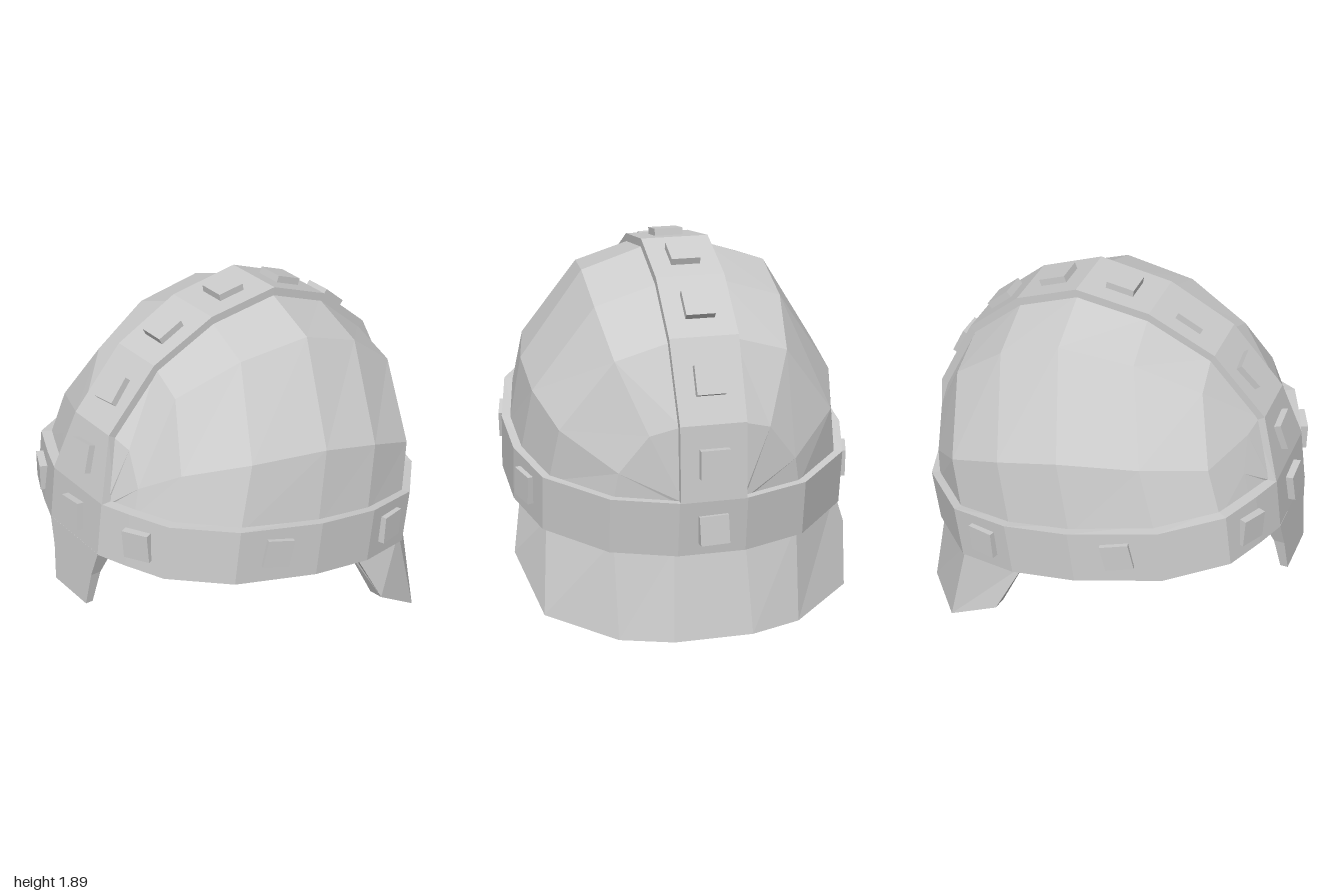
import * as THREE from 'three';

// Half plan of the brow band and the matching crest stations, front to back
const PLAN = [[.22, .93], [.38, .873], [.59, .785], [.785, .5], [.868, .06], [.862, -.28], [.77, -.6], [.49, -.865], [.17, -.96]];
const CREST = [ // z, y, half width
  [.93, 1.02, .225], [.83, 1.34, .152], [.56, 1.64, .155], [.22, 1.81, .165], [-.16, 1.87, .172],
  [-.48, 1.75, .172], [-.75, 1.52, .172], [-.94, 1.14, .165], [-.965, .76, .165],
];
const CENTRE = { y: .8, z: -.03 };
const bandTop = (z) => 1.02 - .152 * Math.max(0, .75 - z);
const bandBottom = (z) => .74 - .155 * Math.max(0, .77 - z);

const mirror = ([x, y, z]) => [-x, y, z];
// Continue a list of items from +x to -x
const bothSides = (list, flip) => [...list, ...list.map(flip).reverse()];

export function createModel() {
  const model = new THREE.Group();
  model.name = 'helmet';
  const material = new THREE.MeshStandardMaterial({ color: 0xcccccc, flatShading: true, side: THREE.DoubleSide });

  function add(name, geometry) {
    const mesh = new THREE.Mesh(geometry, material);
    mesh.name = name;
    model.add(mesh);
    return mesh;
  }

  // Skin a row of cross-sections
  function loft(rings, { tube = false, loop = false, caps = false } = {}) {
    const pos = [];
    const tri = (...pts) => pts.forEach((p) => pos.push(...p));
    const n = rings.length, m = rings[0].length;
    for (let i = 0; i < (loop ? n : n - 1); i++) {
      for (let j = 0; j < (tube ? m : m - 1); j++) {
        const r = rings[i], s = rings[(i + 1) % n], k = (j + 1) % m;
        tri(r[j], s[j], s[k]);
        tri(r[j], s[k], r[k]);
      }
    }
    if (caps) {
      const a = rings[0], b = rings[n - 1];
      for (let j = 1; j < m - 1; j++) {
        tri(a[0], a[j], a[j + 1]);
        tri(b[0], b[j + 1], b[j]);
      }
    }
    const g = new THREE.BufferGeometry();
    g.setAttribute('position', new THREE.Float32BufferAttribute(pos, 3));
    g.computeVertexNormals();
    return g;
  }

  const shrink = ([x, y, z], s) => [x, CENTRE.y + (y - CENTRE.y) * s, CENTRE.z + (z - CENTRE.z) * s];

  // Dome: arches from the band, over the crest, to the other side
  const arches = (inset) => PLAN.map(([px, pz], i) => {
    const [cz, cy, w] = CREST[i];
    const [xc, yc, zc] = shrink([w - .015, cy, cz], inset);
    const k = inset - .01;
    const xb = px * k, yb = bandTop(pz) - .03, zb = CENTRE.z + (pz - CENTRE.z) * k;
    // the frontmost and rearmost arches lean inward to round the ends
    const lean = i === 1 ? -.035 : i === 7 ? .025 : 0;
    const half = [90, 67, 28, 0].map((deg) => {
      const a = THREE.MathUtils.degToRad(deg), s = Math.sin(a), c = Math.cos(a);
      return [xc + (xb - xc) * s, yb + (yc - yb) * c, zb + (zc - zb) * c + lean * Math.sin(2 * a)];
    });
    return bothSides(half, mirror);
  });
  add('dome', loft(arches(.965)));
  add('domeLining', loft(arches(.925)));

  // Raised strip over the middle of the dome
  add('crestStrip', loft(CREST.map(([z, y, w]) => {
    const outer = [w, y, z];
    return bothSides([shrink(outer, .93), outer], mirror);
  })));

  // Brow band: closed ring, thick, tilted down to the back
  const bandSection = ([x, z]) => {
    const yt = bandTop(z), yb = bandBottom(z), k = .92;
    return [[x, yb, z + .035], [x, yt, z], [x * k, yt, z * k], [x * k, yb, z * k + .03]];
  };
  const bandRings = bothSides(PLAN.map(bandSection), (r) => r.map(mirror));
  add('browBand', loft(bandRings, { tube: true, loop: true }));

  // Nose guard
  add('noseGuard', loft([[.745, .223, .965, .87], [.6, .175, .98, .925], [.42, .145, 1, .96]]
    .map(([y, w, front, back]) => [[-w, y, front], [w, y, front], [w, y, back], [-w, y, back]]),
  { tube: true, caps: true }));

  // Neck guard: flared plate running up inside the band
  // each column: outer bottom, outer top, inner top, inner middle, inner bottom
  const neck = [
    [[.88, .32, -.34], [.82, .6, -.2], [.76, .62, -.2], [.76, .58, -.21], [.805, .32, -.33]],
    [[.785, .1, -.65], [.75, .57, -.555], [.68, .74, -.51], [.68, .5, -.5], [.7, .1, -.63]],
    [[.46, .045, -.9], [.465, .53, -.81], [.43, .78, -.765], [.43, .43, -.745], [.42, .02, -.83]],
    [[.2, .04, -.98], [.18, .5, -.89], [.16, .78, -.855], [.16, .4, -.835], [.19, 0, -.9]],
  ];
  add('neckGuard', loft(bothSides(neck, (r) => r.map(mirror)), { tube: true, caps: true }));

  // Square studs
  const studGeometry = new THREE.BoxGeometry(.145, .145, .07);
  function stud(name, x, y, z, rx, ry, rz) {
    const mesh = add(name, studGeometry);
    mesh.position.set(x, y, z);
    mesh.rotation.set(rx, ry, rz);
  }
  // one in the middle of every crest segment
  for (let i = 0; i < CREST.length - 1; i++) {
    const [z0, y0] = CREST[i], [z1, y1] = CREST[i + 1];
    stud('crestStud', 0, (y0 + y1) / 2, (z0 + z1) / 2, -Math.atan2(z0 - z1, y1 - y0), 0, i < 2 ? .1 : 0);
  }
  // around the band
  stud('frontStud', 0, .88, .95, -.12, 0, .09);
  stud('backStud', 0, .61, -.945, Math.PI + .1, 0, .03);
  for (const s of [1, -1]) {
    stud('browStud', s * .44, .88, .86, 0, s * .42, s * .07);
    stud('sideStud', s * .81, .82, .305, 0, s * 1.37, s * -.22);
    stud('rearSideStud', s * .815, .71, -.41, 0, s * 1.87, s * -.08);
  }
  return model;
}
